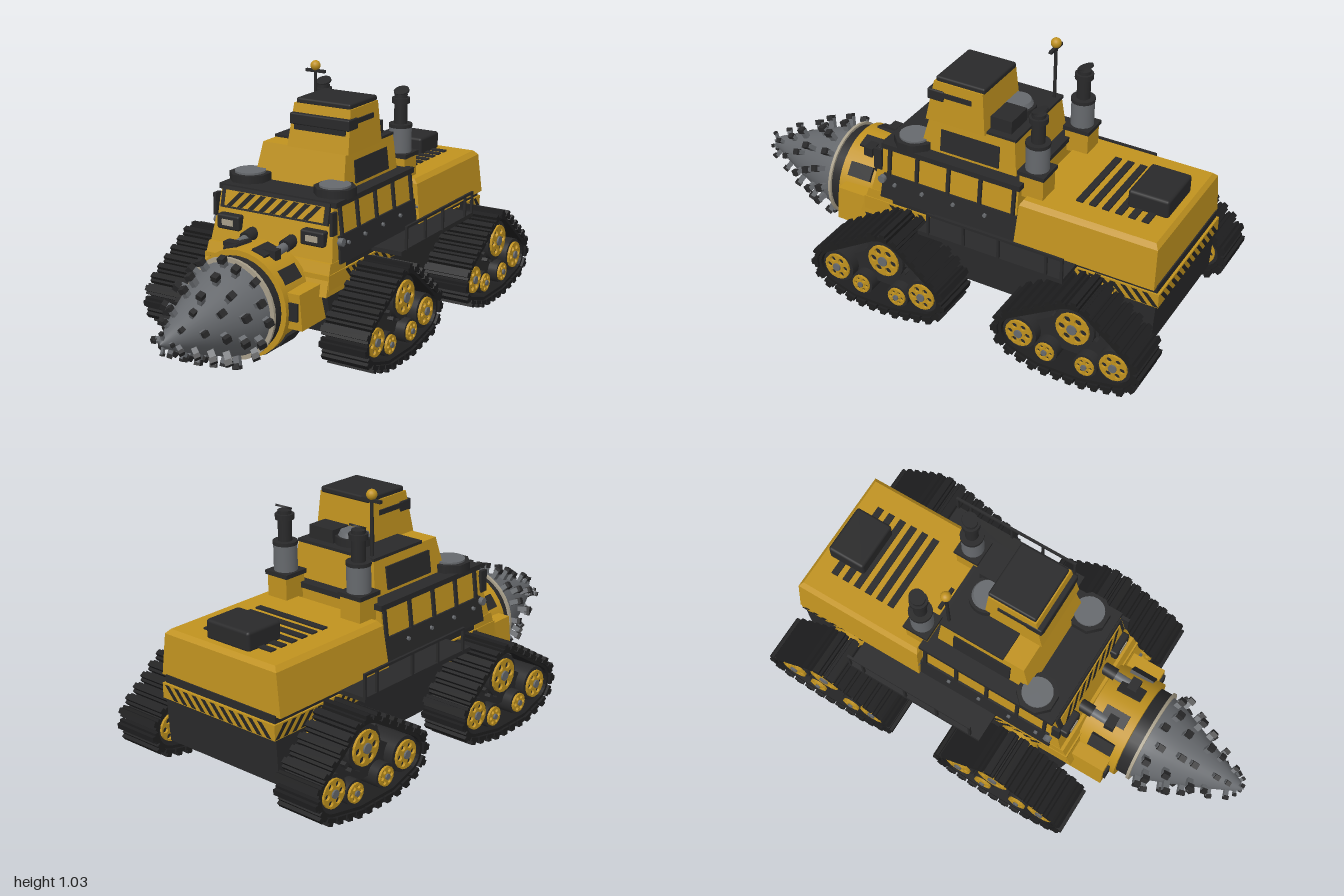
import * as THREE from 'three';
import { mergeGeometries } from 'three/addons/utils/BufferGeometryUtils.js';
import { RoundedBoxGeometry } from 'three/addons/geometries/RoundedBoxGeometry.js';

const paint = (name, color, side = THREE.FrontSide) => new THREE.MeshStandardMaterial({ name, color, side });

export function createModel() {
  const model = new THREE.Group();
  model.name = 'drillingVehicle';
  const yellow = paint('yellowPaint', 0xc0921f), dark = paint('darkMetal', 0x29292a);
  const rubber = paint('trackBlack', 0x1e1e1f), steel = paint('greySteel', 0x66696d);
  const pale = paint('paleLamp', 0xa89f8a), stripe = paint('stripeBlack', 0x232323, THREE.DoubleSide);

  const add = (parent, name, geo, mat, x = 0, y = 0, z = 0) => {
    const m = new THREE.Mesh(geo, mat);
    m.name = name;
    m.position.set(x, y, z);
    parent.add(m);
    return m;
  };
  const group = (parent, name, x = 0, y = 0, z = 0) => {
    const g = new THREE.Group();
    g.name = name;
    g.position.set(x, y, z);
    parent.add(g);
    return g;
  };
  // Box given by its limits
  const box = (name, mat, x0, x1, y0, y1, z0, z1, parent = model) =>
    add(parent, name, new THREE.BoxGeometry(x1 - x0, y1 - y0, z1 - z0), mat, (x0 + x1) / 2, (y0 + y1) / 2, (z0 + z1) / 2);
  const rbox = (name, mat, x0, x1, y0, y1, z0, z1, r = 0.012) =>
    add(model, name, new RoundedBoxGeometry(x1 - x0, y1 - y0, z1 - z0, 2, r), mat, (x0 + x1) / 2, (y0 + y1) / 2, (z0 + z1) / 2);
  // Tapered box between two rectangles [x0, x1, z0, z1]
  const taper = (name, mat, y0, low, y1, high) => {
    const geo = new THREE.BoxGeometry(1, 1, 1), p = geo.attributes.position;
    for (let i = 0; i < p.count; i++) {
      const top = p.getY(i) > 0, r = top ? high : low;
      p.setXYZ(i, r[p.getX(i) > 0 ? 1 : 0], top ? y1 : y0, r[p.getZ(i) > 0 ? 3 : 2]);
    }
    geo.computeVertexNormals();
    return add(model, name, geo, mat);
  };
  const cyl = (r, h, axis = 'y', n = 24, r2 = r) => {
    const geo = new THREE.CylinderGeometry(r, r2, h, n);
    return axis === 'x' ? geo.rotateZ(Math.PI / 2) : axis === 'z' ? geo.rotateX(Math.PI / 2) : geo;
  };
  // Row of slanted stripes in the local xy plane
  const hazard = (name, w, h, n, lean, x, y, z, ry = 0, rx = 0) => {
    const pitch = w / n, shapes = [];
    for (let i = 0; i < n; i++) {
      const a = -w / 2 + pitch * (i + 0.25), b = a + pitch * 0.5, s = lean * h * 0.45;
      shapes.push(new THREE.Shape([[a - s, -h / 2], [b - s, -h / 2], [b + s, h / 2], [a + s, h / 2]].map(q => new THREE.Vector2(...q))));
    }
    add(model, name, new THREE.ShapeGeometry(shapes), stripe, x, y, z).rotation.set(rx, ry, 0);
  };

  // Lower hull and striped belt line
  taper('hull', dark, 0.12, [-0.28, 0.28, -0.93, 0.3], 0.31, [-0.28, 0.28, -0.94, 0.34]);
  box('beltLine', yellow, -0.285, 0.285, 0.3, 0.36, -0.95, 0.33);
  box('deckSeam', dark, -0.278, 0.278, 0.36, 0.39, -0.94, 0.3);
  taper('nose', yellow, 0.28, [-0.285, 0.285, 0.2, 0.35], 0.4, [-0.28, 0.28, 0.2, 0.31]);
  for (const s of [-1, 1]) hazard('sideStripes', 1.14, 0.052, 26, -s, s * 0.287, 0.33, -0.37, s * Math.PI / 2);
  hazard('rearStripes', 0.52, 0.052, 11, -1, 0, 0.33, -0.952, Math.PI);

  // Rear engine housing with vents
  taper('engineHousing', yellow, 0.385, [-0.3, 0.3, -0.935, -0.355], 0.55, [-0.28, 0.28, -0.93, -0.365]);
  taper('engineTop', yellow, 0.55, [-0.28, 0.28, -0.93, -0.365], 0.568, [-0.262, 0.262, -0.915, -0.375]);
  for (let i = 0; i < 6; i++) box('ventSlat', dark, -0.17, 0.17, 0.565, 0.574, -0.842 + i * 0.0535, -0.814 + i * 0.0535);
  rbox('engineIntake', dark, -0.11, 0.105, 0.562, 0.64, -0.89, -0.725);

  // Main body, side panels and deck
  taper('mainBody', yellow, 0.385, [-0.28, 0.28, -0.35, 0.3], 0.6, [-0.255, 0.255, -0.35, 0.25]);
  box('deckTrim', dark, -0.268, 0.268, 0.6, 0.622, -0.36, 0.25);
  for (const s of [-1, 1]) {
    taper('sideArmour', dark, 0.385, s > 0 ? [0.2, 0.289, -0.355, 0.25] : [-0.289, -0.2, -0.355, 0.25],
      0.49, s > 0 ? [0.2, 0.276, -0.355, 0.24] : [-0.276, -0.2, -0.355, 0.24]);
    for (const z of [0.215, 0.09, -0.05, -0.19, -0.335]) {
      box('sideRib', dark, s * 0.266 - 0.006, s * 0.266 + 0.006, 0.485, 0.605, z - 0.007, z + 0.007).rotation.z = s * 0.11;
      add(model, 'sideBolt', cyl(0.008, 0.012, 'x', 8), steel, s * 0.283, 0.455, z - 0.03);
    }
    box('mirror', dark, s * 0.266 - 0.007, s * 0.266 + 0.007, 0.5, 0.59, 0.25, 0.285);
    add(model, 'sideLamp', cyl(0.016, 0.02, 'x', 10), steel, s * 0.285, 0.47, 0.24);
    // Headlights
    rbox('headlightFrame', dark, s * 0.192 - 0.052, s * 0.192 + 0.052, 0.455, 0.515, 0.25, 0.305, 0.008);
    box('headlight', pale, s * 0.192 - 0.026, s * 0.192 + 0.026, 0.473, 0.497, 0.3, 0.308);
    // Roof fans at the front corners
    const fan = group(model, 'roofFan', s * 0.195, 0.635, 0.14);
    add(fan, 'fanBase', cyl(0.084, 0.036, 'y', 8).rotateY(Math.PI / 8), dark);
    add(fan, 'fanCover', cyl(0.062, 0.012, 'y', 24), steel, 0, 0.02);
  }
  box('frontPanelFrame', dark, -0.245, 0.245, 0.53, 0.615, 0.23, 0.268).rotation.x = -0.23;
  box('frontPanel', yellow, -0.225, 0.225, 0.543, 0.605, 0.266, 0.272).rotation.x = -0.23;
  hazard('frontStripes', 0.4, 0.06, 8, 1, 0, 0.5745, 0.2735, 0, -0.23);

  // Upper deckhouse
  taper('deckhouse', yellow, 0.62, [-0.198, 0.212, -0.315, 0.105], 0.762, [-0.18, 0.2, -0.3, 0.07]);
  box('deckhouseRoof', dark, -0.185, 0.2, 0.76, 0.772, -0.305, -0.02);
  for (const s of [-1, 1]) box('deckhouseWindow', dark, 0.007 + s * 0.2 - 0.005, 0.007 + s * 0.2 + 0.005, 0.635, 0.725, -0.24, 0.015).rotation.z = s * 0.12;
  add(model, 'hatchRing', cyl(0.076, 0.035), dark, 0, 0.785, -0.2);
  add(model, 'hatchLid', cyl(0.055, 0.02, 'y', 24, 0.065), steel, 0, 0.81, -0.2);
  box('equipmentBox', dark, 0.05, 0.17, 0.77, 0.825, -0.27, -0.18);

  // Offset cab
  taper('cab', yellow, 0.76, [-0.062, 0.216, -0.18, 0.078], 0.93, [-0.05, 0.205, -0.165, 0.045]);
  rbox('cabRoof', dark, -0.045, 0.2, 0.925, 0.95, -0.17, 0.04, 0.008);
  rbox('cabVisor', dark, -0.056, 0.214, 0.85, 0.895, 0.0, 0.072, 0.006);
  box('cabWindscreen', dark, -0.035, 0.195, 0.83, 0.852, 0.0, 0.069);
  for (const s of [-1, 1]) box('cabWindow', dark, 0.0775 + s * 0.132 - 0.004, 0.0775 + s * 0.132 + 0.004, 0.87, 0.89, -0.12, 0.02);

  // Antenna
  add(model, 'antennaMast', cyl(0.007, 0.235, 'y', 8), dark, -0.155, 0.88, -0.28);
  box('antennaBar', dark, -0.2, -0.108, 0.982, 0.994, -0.287, -0.273);
  add(model, 'antennaBall', new THREE.SphereGeometry(0.021, 16, 12), yellow, -0.155, 1.01, -0.28);

  // Exhaust stacks
  for (const s of [-1, 1]) {
    const ex = group(model, 'exhaustStack', s * 0.185, 0, -0.39);
    box('exhaustFoot', yellow, -0.048, 0.048, 0.56, 0.655, -0.05, 0.05, ex);
    box('exhaustFlange', dark, -0.056, 0.056, 0.655, 0.672, -0.056, 0.056, ex);
    add(ex, 'silencer', cyl(0.046, 0.11), steel, 0, 0.725);
    add(ex, 'silencerCap', cyl(0.048, 0.014), dark, 0, 0.782);
    add(ex, 'pipe', cyl(0.027, 0.14, 'y', 16), dark, 0, 0.84);
    add(ex, 'pipeCollar', cyl(0.037, 0.022, 'y', 16), dark, 0, 0.885);
    add(ex, 'rainFlap', cyl(0.032, 0.008, 'y', 16), dark, 0, 0.922, -0.004).rotation.x = 0.4;
  }

  // Side steps and handrails
  for (const s of [-1, 1]) {
    const x = s * 0.408;
    box('sideStep', dark, s * 0.345 - 0.067, s * 0.345 + 0.067, 0.368, 0.386, -0.62, 0.0);
    box('handrail', dark, x - 0.005, x + 0.005, 0.468, 0.478, -0.62, -0.04);
    for (const z of [-0.045, -0.2, -0.35, -0.55, -0.615]) box('railPost', dark, x - 0.005, x + 0.005, 0.38, 0.47, z - 0.005, z + 0.005);
  }

  // Drill housing and its mounts
  const drill = group(model, 'drillHead', 0, 0.252, 0);
  add(drill, 'drillCasing', cyl(0.212, 0.19, 'z', 32, 0.2), yellow, 0, 0, 0.415);
  add(drill, 'drillCollar', cyl(0.19, 0.06, 'z', 32), dark, 0, 0, 0.535);
  add(drill, 'drillRing', cyl(0.2, 0.012, 'z', 32), pale, 0, 0, 0.566);
  for (let i = 0; i < 10; i++) {
    const clamp = group(drill, 'casingClamp');
    clamp.rotation.z = (i + 0.5) * Math.PI / 5;
    box('clampBlock', dark, -0.03, 0.03, 0.195, 0.216, 0.37, 0.475, clamp);
  }
  const profile = [[0.183, 0.57], [0.172, 0.62], [0.14, 0.7], [0.1, 0.8], [0.055, 0.9], [0.025, 0.965], [0, 0.995]];
  add(drill, 'drillCone', new THREE.LatheGeometry(profile.map(p => new THREE.Vector2(...p)), 32).rotateX(Math.PI / 2).scale(1, 1, 1), new THREE.MeshStandardMaterial().copy(steel)).material = steel;
  // Teeth in staggered rings: z, cone radius, count, size
  const rings = [[0.6, 0.177, 16, 1], [0.69, 0.145, 11, 1], [0.77, 0.112, 9, 0.95], [0.85, 0.078, 7, 0.8], [0.92, 0.046, 5, 0.7], [0.965, 0.025, 4, 0.5]];
  rings.forEach(([z, r, n, k], row) => {
    for (let i = 0; i < n; i++) {
      const a = (i + row * 0.4) / n * Math.PI * 2, c = Math.cos(a), q = Math.sin(a);
      const tooth = group(drill, 'drillTooth', c * r, q * r, z + (i % 2) * 0.025 * k);
      tooth.quaternion.setFromUnitVectors(new THREE.Vector3(0, 1, 0), new THREE.Vector3(c, q, 0.35).normalize());
      box('toothShank', steel, -0.01 * k, 0.01 * k, -0.035 * k, 0.03 * k, -0.013 * k, 0.013 * k, tooth);
      box('toothTip', dark, -0.013 * k, 0.013 * k, 0.02 * k, 0.042 * k, -0.011 * k, 0.018 * k, tooth);
    }
  });
  for (const s of [-1, 1]) {
    const arm = [0.19, 0.262].map(v => v * s).sort((a, b) => a - b), root = [0.19, 0.25].map(v => v * s).sort((a, b) => a - b);
    taper('drillArm', yellow, 0.185, [...arm, 0.3, 0.48], 0.325, [...root, 0.3, 0.48]);
    box('armPad', dark, s * 0.225 - 0.02, s * 0.225 + 0.02, 0.22, 0.29, 0.47, 0.49);
    // Hydraulic rams to the casing
    add(model, 'ram', cyl(0.018, 0.16, 'z', 12), steel, s * 0.09, 0.442, 0.345).rotation.x = 0.12;
    add(model, 'ramSleeve', cyl(0.026, 0.07, 'z', 12), dark, s * 0.09, 0.45, 0.3).rotation.x = 0.12;
    box('ramBracket', dark, s * 0.09 - 0.028, s * 0.09 + 0.028, 0.41, 0.46, 0.4, 0.44);
  }

  // Track outline around the wheels, listed anticlockwise as [z, y, radius]
  const path = [[-0.055, 0.095, 0.075], [0.11, 0.095, 0.075], [0.2, 0.14, 0.092], [-0.02, 0.25, 0.113], [-0.19, 0.14, 0.092]];
  const outline = off => {
    const n = path.length, normals = path.map((a, i) => {
      const b = path[(i + 1) % n], dz = b[0] - a[0], dy = b[1] - a[1];
      return Math.atan2(dy, dz) - Math.acos((a[2] - b[2]) / Math.hypot(dz, dy));
    });
    const pts = [];
    path.forEach(([z, y, r], i) => {
      const from = normals[(i + n - 1) % n];
      let turn = normals[i] - from;
      while (turn < 0) turn += Math.PI * 2;
      for (let k = 0; k <= 10; k++) pts.push(new THREE.Vector2(z + Math.cos(from + turn * k / 10) * (r + off), y + Math.sin(from + turn * k / 10) * (r + off)));
    });
    pts.push(pts[0].clone());
    return pts;
  };
  const slab = (shape, depth) => new THREE.ExtrudeGeometry(shape, { depth, bevelEnabled: false }).rotateY(-Math.PI / 2).translate(depth / 2, 0, 0);
  const bandShape = new THREE.Shape(outline(-0.008));
  bandShape.holes.push(new THREE.Path(outline(-0.02)));
  const bandGeo = slab(bandShape, 0.18);
  const linkGeo = mergeGeometries([new THREE.BoxGeometry(0.2, 0.016, 0.044), new THREE.BoxGeometry(0.2, 0.018, 0.022).translate(0, -0.013, 0)]);
  const frameGeo = slab(new THREE.Shape([[-0.19, 0.1], [0.2, 0.1], [0.2, 0.16], [0.01, 0.28], [-0.05, 0.28], [-0.19, 0.16]].map(p => new THREE.Vector2(...p))), 0.07);
  const LINKS = 28, steps = new THREE.Shape(outline(0)).getSpacedPoints(LINKS * 4);

  const addWheel = (parent, z, y, r) => {
    const wheel = group(parent, 'roadWheel', 0, y, z);
    add(wheel, 'tyre', cyl(r, 0.15, 'x'), dark);
    const rim = new THREE.Shape().absarc(0, 0, r * 0.8, 0, Math.PI * 2);
    for (let i = 0; i < 6; i++) {
      const a = i * Math.PI / 3;
      rim.holes.push(new THREE.Path().absarc(Math.cos(a) * r * 0.52, Math.sin(a) * r * 0.52, r * 0.17, 0, Math.PI * 2));
    }
    const rimGeo = new THREE.ExtrudeGeometry(rim, { depth: 0.012, bevelEnabled: false, curveSegments: 8 }).rotateY(-Math.PI / 2);
    for (const x of [-0.073, 0.085]) add(wheel, 'wheelRim', rimGeo, yellow, x);
    add(wheel, 'wheelHub', cyl(r * 0.24, 0.184, 'x', 10), steel);
  };

  for (const s of [-1, 1]) for (const z0 of [0.13, -0.688]) {
    const track = group(model, 'trackUnit', s * 0.41, 0, z0);
    add(track, 'trackBand', bandGeo, rubber);
    for (let i = 0; i < LINKS; i++) {
      const j = i * 4, p = steps[j], a = steps[(j + LINKS * 4 - 1) % (LINKS * 4)], b = steps[j + 1];
      add(track, 'trackLink', linkGeo, rubber, 0, p.y, p.x).rotation.x = -Math.atan2(b.y - a.y, b.x - a.x);
    }
    add(track, 'trackFrame', frameGeo, dark);
    for (const [z, y, r] of [[0.2, 0.14, 0.07], [-0.19, 0.14, 0.07], [0.09, 0.095, 0.048], [-0.075, 0.095, 0.048], [-0.02, 0.25, 0.085]]) addWheel(track, z, y, r);
    // Sprocket teeth and final drive
    for (let i = 0; i < 12; i++) {
      const tooth = group(track, 'sprocketTooth', 0, 0.25, -0.02);
      tooth.rotation.x = i * Math.PI / 6;
      box('toothBlock', dark, -0.06, 0.06, 0.078, 0.098, -0.01, 0.01, tooth);
    }
    add(track, 'finalDrive', cyl(0.085, 0.06, 'x'), yellow, -s * 0.11, 0.25, -0.02);
  }
  return model;
}
